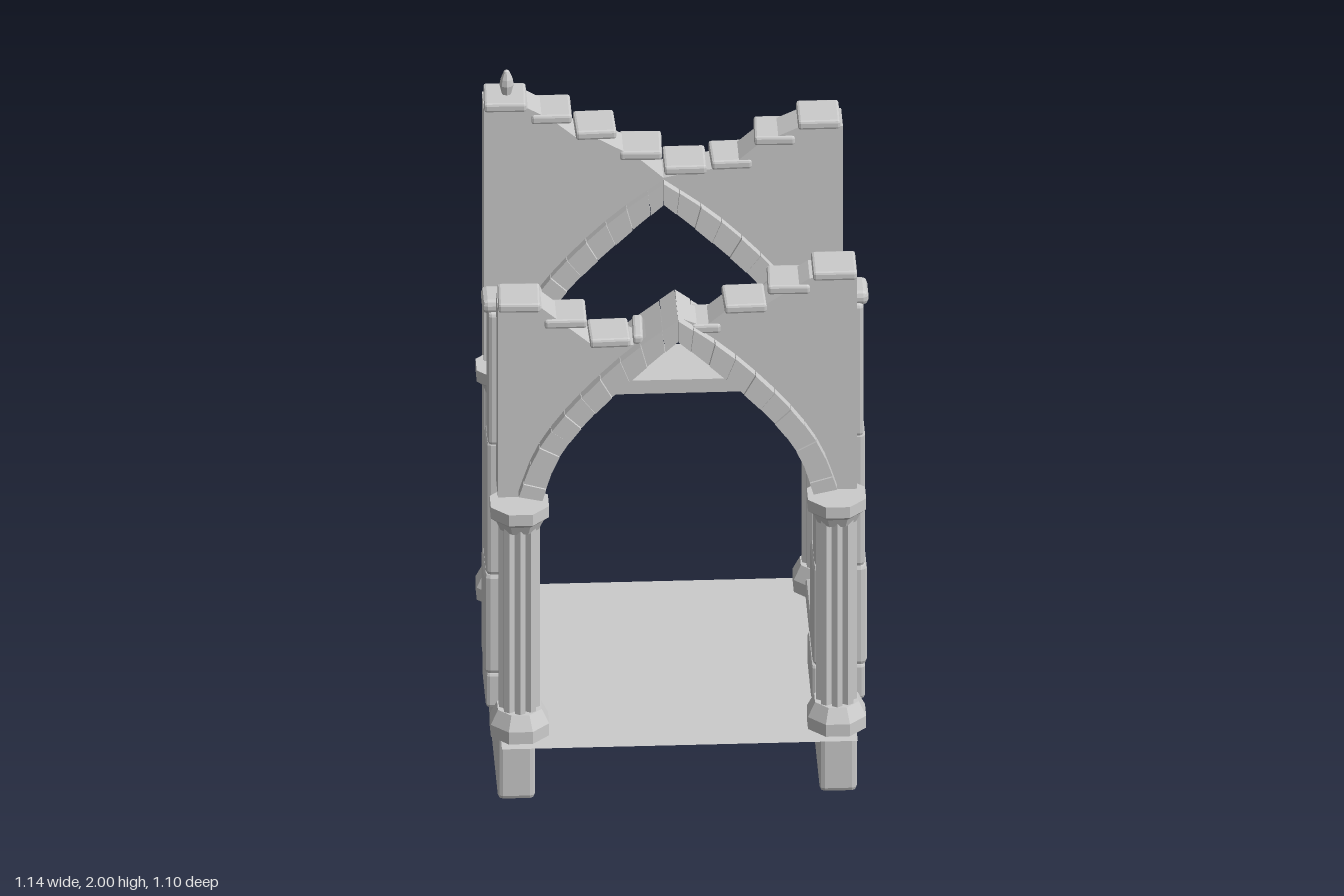
import * as THREE from 'three';
import { RoundedBoxGeometry } from 'three/addons/geometries/RoundedBoxGeometry.js';

const stone = new THREE.MeshStandardMaterial({ color: 0xcccccc, flatShading: true });
const sheet = new THREE.MeshStandardMaterial({ color: 0xcccccc, side: THREE.DoubleSide });
const V = (x, y) => new THREE.Vector2(x, y);

function add(parent, name, geometry, material = stone) {
  const mesh = new THREE.Mesh(geometry, material);
  mesh.name = name;
  parent.add(mesh);
  return mesh;
}

// Block given by its limits, with a small bevel
function block(parent, name, x0, x1, y0, y1, z0, z1, bevel = 0.012) {
  const g = new RoundedBoxGeometry(x1 - x0, y1 - y0, z1 - z0, 1, bevel);
  return add(parent, name, g.translate((x0 + x1) / 2, (y0 + y1) / 2, (z0 + z1) / 2));
}

// Same block on both sides of the centre line
function pair(parent, name, x0, x1, ...rest) {
  block(parent, name, x0, x1, ...rest);
  block(parent, name, -x1, -x0, ...rest);
}

function slab(points, z0, z1) {
  return new THREE.ExtrudeGeometry(new THREE.Shape(points), { depth: z1 - z0, bevelEnabled: false }).translate(0, 0, z0);
}

// Half of the pointed arch, from springing to apex
const outer = new THREE.SplineCurve([V(0.47, 1.07), V(0.415, 1.22), V(0.31, 1.37), V(0.155, 1.53), V(0, 1.65)]);
const inner = new THREE.SplineCurve([V(0.4, 1.055), V(0.355, 1.19), V(0.265, 1.32), V(0.13, 1.46), V(0, 1.58)]);

// Ring of wedge stones
function archRing(parent, z0, z1) {
  const ring = new THREE.Group();
  ring.name = 'archRing';
  const n = 11;
  for (const s of [-1, 1]) {
    for (let i = 0; i < n; i++) {
      const a = i / n, b = (i + 0.97) / n, inset = (i % 2) * 0.004;
      const corners = [inner.getPoint(a), outer.getPoint(a), outer.getPoint(b), inner.getPoint(b)];
      add(ring, 'archStone', slab(corners.map((p) => V(s * p.x, p.y)), z0 + inset, z1 - inset));
    }
  }
  parent.add(ring);
}

// Broken gable wall: ragged top edge, pointed opening, feet at the given height
function wall(parent, name, top, foot, z0, z1) {
  const half = inner.getPoints(16).map((p) => V(p.x + 0.015, p.y + 0.012));
  half[16].x = 0;
  const footX = foot < 1 ? 0.445 : 0.42;
  const right = [V(0.53, foot), V(footX, foot), ...half];
  const left = [...half].reverse().slice(1).map((p) => V(-p.x, p.y));
  const points = [...top, ...right, ...left, V(-footX, foot), V(-0.53, foot)];
  add(parent, name, slab(points, z0, z1));
}

// Worn coping stones: [centre x, centre y, width]
function coping(parent, stones, z) {
  stones.forEach(([x, y, w], i) => {
    const m = add(parent, 'copingStone', new RoundedBoxGeometry(w, 0.03, 0.135, 1, 0.008));
    m.position.set(x, y, z);
    m.rotation.y = ((i % 3) - 1) * 0.03;
  });
}

// Clustered column with octagonal base and capital
function column(x, z) {
  const g = new THREE.Group();
  g.name = 'column';
  const octagon = (profile, name) => {
    const m = add(g, name, new THREE.LatheGeometry(profile.map((p) => V(...p)), 8));
    m.rotation.y = Math.PI / 8;
  };
  octagon([[0, 0.28], [0.093, 0.28], [0.093, 0.32], [0.07, 0.365], [0, 0.365]], 'columnBase');
  octagon([[0, 0.97], [0.062, 0.97], [0.075, 1.0], [0.093, 1.015], [0.093, 1.052], [0, 1.052]], 'capital');
  add(g, 'shaftCore', new THREE.CylinderGeometry(0.046, 0.046, 0.64, 8).translate(0, 0.67, 0));
  for (let i = 0; i < 8; i++) {
    const a = (i * Math.PI) / 4;
    add(g, 'shaftRib', new THREE.CylinderGeometry(0.018, 0.018, 0.64, 6)
      .translate(0.045 * Math.cos(a), 0.67, 0.045 * Math.sin(a)));
  }
  g.position.set(x, 0, z);
  return g;
}

export function createModel() {
  const model = new THREE.Group();
  model.name = 'ruinedShrine';

  // U-shaped base, floor and kerbs
  pair(model, 'baseSide', 0.42, 0.53, 0.03, 0.278, -0.43, 0.41, 0.015);
  block(model, 'baseBack', -0.53, 0.53, 0, 0.278, -0.44, -0.355, 0.02);
  add(model, 'floor', new THREE.PlaneGeometry(1.05, 1).rotateX(-Math.PI / 2).translate(0, 0.28, 0.05), sheet);
  pair(model, 'kerb', 0.415, 0.53, 0.27, 0.34, -0.41, 0.1);

  // Columns
  for (const x of [-0.468, 0.468]) model.add(column(x, 0.435), column(x, -0.4));

  // Stepped buttresses
  pair(model, 'buttressFoot', 0.4, 0.56, 0.28, 0.4, 0.08, 0.3);
  pair(model, 'buttressLower', 0.405, 0.565, 0.39, 0.735, 0.12, 0.3, 0.018);
  pair(model, 'buttressMiddle', 0.41, 0.56, 0.725, 1.18, 0.185, 0.3, 0.015);
  pair(model, 'buttressUpper', 0.415, 0.555, 1.17, 1.615, 0.22, 0.31);
  pair(model, 'buttressCap', 0.39, 0.57, 1.605, 1.65, 0.19, 0.3, 0.016);

  // Back gable reaches the floor
  wall(model, 'backWall', [
    V(-0.53, 1.9), V(-0.4, 1.9), V(-0.33, 1.86), V(-0.26, 1.8), V(-0.19, 1.79), V(-0.07, 1.72), V(0, 1.655),
    V(0.07, 1.67), V(0.2, 1.69), V(0.28, 1.76), V(0.4, 1.815), V(0.53, 1.815),
  ], 0.28, -0.53, -0.42);
  archRing(model, -0.55, -0.39);
  coping(model, [
    [-0.465, 1.905, 0.125], [-0.33, 1.862, 0.12], [-0.2, 1.806, 0.12], [-0.065, 1.733, 0.125],
    [0.065, 1.68, 0.125], [0.2, 1.695, 0.12], [0.33, 1.772, 0.12], [0.46, 1.822, 0.125],
  ], -0.48);

  // Front gable stands on the columns
  wall(model, 'frontWall', [
    V(-0.53, 1.685), V(-0.4, 1.685), V(-0.26, 1.565), V(-0.13, 1.555), V(0, 1.645),
    V(0.08, 1.61), V(0.14, 1.66), V(0.26, 1.68), V(0.39, 1.765), V(0.53, 1.765),
  ], 1.05, 0.3, 0.41);
  archRing(model, 0.25, 0.445);
  coping(model, [
    [-0.465, 1.69, 0.125], [-0.33, 1.633, 0.125], [-0.2, 1.565, 0.12], [-0.115, 1.575, 0.03],
    [0.085, 1.605, 0.085], [0.2, 1.67, 0.125], [0.33, 1.73, 0.125], [0.465, 1.773, 0.13],
  ], 0.352);

  // Pinnacle on the tall corner
  const spike = [[0, 1.91], [0.013, 1.915], [0.021, 1.95], [0.018, 1.97], [0.008, 1.995], [0, 2]];
  add(model, 'pinnacle', new THREE.LatheGeometry(spike.map((p) => V(...p)), 8).translate(-0.46, 0, -0.48));

  // Shelf with cut front corners, on two corbels
  const plan = [V(-0.515, 0.41), V(0.515, 0.41), V(0.515, 0.215), V(0.42, 0.193), V(-0.42, 0.193), V(-0.515, 0.215)];
  add(model, 'shelf', slab(plan, 0, 0.045).rotateX(-Math.PI / 2).translate(0, 1.055, 0));
  for (const s of [-1, 1]) {
    const side = [V(0.3, 1.06), V(0.335, 0.92), V(0.42, 0.92), V(0.445, 1.06)];
    add(model, 'corbel', slab(side.map((p) => V(s * p.x, p.y)), -0.33, -0.22));
  }

  // Thin inner rib following the arch, facing inward
  const rib = new THREE.PlaneGeometry(2, 1, 24, 1);
  const p = rib.attributes.position;
  const line = new THREE.SplineCurve([V(0.435, 1.1), V(0.4, 1.23), V(0.31, 1.37), V(0.155, 1.53), V(0, 1.65)]);
  for (let i = 0; i < p.count; i++) {
    const u = p.getX(i), q = line.getPoint(1 - Math.abs(u));
    p.setXYZ(i, Math.sign(u) * q.x, q.y, p.getY(i) > 0 ? -0.295 : -0.35);
  }
  rib.computeVertexNormals();
  add(model, 'innerRib', rib);

  return model;
}
